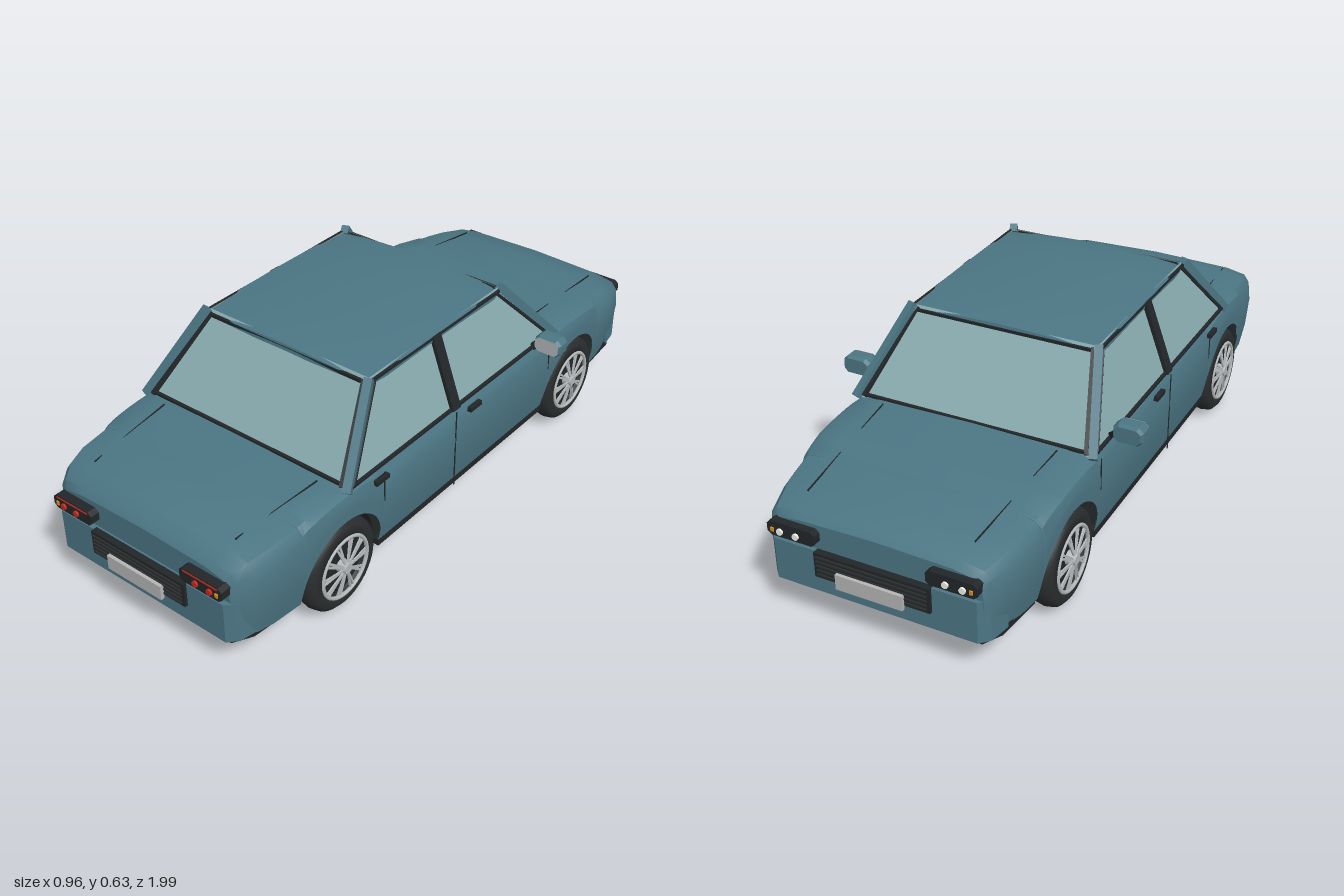
import * as THREE from 'three';
import { toCreasedNormals } from 'three/addons/utils/BufferGeometryUtils.js';

const mat = (color, side = THREE.DoubleSide) => new THREE.MeshStandardMaterial({ color, side });
const paint = mat(0x4b7583), dark = mat(0x222628), rubber = mat(0x2a2d2e), glass = mat(0x86a9ad);
const steel = mat(0xb4b8ba), red = mat(0xc8281e), orange = mat(0xe08a20), white = mat(0xf0f0ea), plateGrey = mat(0xb5b5b5);

const WHEEL_Z = 0.58, WHEEL_Y = 0.143, ARCH_R = 0.16, SILL = 0.112;

function add(parent, name, geometry, material, x = 0, y = 0, z = 0) {
  const mesh = new THREE.Mesh(geometry, material);
  mesh.name = name;
  mesh.position.set(x, y, z);
  parent.add(mesh);
  return mesh;
}
const box = (parent, name, w, h, d, material, x, y, z) => add(parent, name, new THREE.BoxGeometry(w, h, d), material, x, y, z);

// Bar between two points
function beam(parent, name, a, b, w, h, material) {
  const p = new THREE.Vector3(...a), q = new THREE.Vector3(...b);
  const mesh = box(parent, name, w, h, p.distanceTo(q), material, ...p.clone().lerp(q, 0.5));
  mesh.lookAt(q);
  return mesh;
}

// Skin over a list of equal-length rings of points
function loft(rings, closed = false, crease = 0.6) {
  const n = rings[0].length, index = [];
  for (let i = 0; i < rings.length - 1; i++)
    for (let j = 0; j < (closed ? n : n - 1); j++) {
      const a = i * n + j, b = i * n + (j + 1) % n;
      index.push(a, b, a + n, b, b + n, a + n);
    }
  const g = new THREE.BufferGeometry();
  g.setAttribute('position', new THREE.Float32BufferAttribute(rings.flat(2), 3));
  g.setIndex(index);
  return toCreasedNormals(g, crease);
}

// Slab from a mirrored plan outline of [x, z] points, hanging down from yTop
function slab(half, height, yTop) {
  const pts = [...half, ...half.map(([x, z]) => [-x, z]).reverse()].map(p => new THREE.Vector2(...p));
  return new THREE.ExtrudeGeometry(new THREE.Shape(pts), { depth: height, bevelEnabled: false })
    .rotateX(Math.PI / 2).translate(0, yTop, 0);
}

// Body stations: z, half width, shoulder height
const STATIONS = [
  [-0.96, 0.318, 0.318], [-0.94, 0.335, 0.335], [-0.85, 0.36, 0.352], [-0.78, 0.37, 0.363], [-0.65, 0.381, 0.38],
  [-0.45, 0.385, 0.393], [0.56, 0.385, 0.391], [0.7, 0.382, 0.386], [0.84, 0.37, 0.377], [0.9, 0.355, 0.364],
  [0.94, 0.332, 0.342], [0.955, 0.315, 0.325]];

function section(z) {
  let i = 0;
  while (i < STATIONS.length - 2 && z > STATIONS[i + 1][0]) i++;
  const [z0, w0, t0] = STATIONS[i], [z1, w1, t1] = STATIONS[i + 1], k = (z - z0) / (z1 - z0);
  const w = w0 + (w1 - w0) * k, top = t0 + (t1 - t0) * k;
  // bottom edge rises over the wheels
  const d = Math.abs(Math.abs(z) - WHEEL_Z);
  const bottom = d <= ARCH_R + 1e-6 ? WHEEL_Y + Math.sqrt(Math.max(0, ARCH_R ** 2 - d * d)) : SILL;
  const levels = [[0, 0], [0.3, 0], [0.6, 0], [0.85, 0.008], [0.95, 0.026], [1, 0.09], [1.03, w]];
  const half = levels.map(([f, inset]) => {
    const y = bottom + f * (top - bottom);
    return [w - inset - (y < 0.28 ? 0.022 * ((0.28 - y) / 0.17) ** 2 : 0), y, z];
  });
  return [...half, ...half.slice(0, -1).reverse().map(([x, y, c]) => [-x, y, c])];
}

function buildBody(car) {
  const zs = STATIONS.map(s => s[0]);
  for (const c of [-WHEEL_Z, WHEEL_Z]) {
    zs.push(c - ARCH_R - 0.0005, c + ARCH_R + 0.0005);
    for (let k = 0; k <= 20; k++) zs.push(c + ARCH_R * Math.cos(k * Math.PI / 20));
  }
  const rings = zs.sort((a, b) => a - b).map(section);
  add(car, 'bodyShell', loft(rings), paint);
  for (const ring of [rings[0], rings[rings.length - 1]]) {
    const shape = new THREE.Shape(ring.map(([x, y]) => new THREE.Vector2(x, y)));
    add(car, 'bodyEnd', new THREE.ShapeGeometry(shape), paint, 0, 0, ring[0][2]);
  }
  // Underside with wheel notches, and the arch liners
  add(car, 'floor', slab([[0.305, -0.955], [0.335, -0.9], [0.35, -0.75], [0.29, -0.75], [0.29, -0.42], [0.367, -0.42],
    [0.367, 0.42], [0.29, 0.42], [0.29, 0.75], [0.35, 0.75], [0.335, 0.9], [0.305, 0.955]], 0.02, 0.124), dark);
  box(car, 'underbody', 0.58, 0.2, 1.8, dark, 0, 0.22, 0);
  const side = new THREE.Shape().moveTo(-0.8, 0.115);
  const r = ARCH_R - 0.002, a = Math.asin((WHEEL_Y - 0.115) / r);
  for (const c of [-WHEEL_Z, WHEEL_Z]) side.absarc(c, WHEEL_Y, r, Math.PI + a, -a, true);
  side.lineTo(0.8, 0.115).lineTo(0.8, 0.33).lineTo(-0.8, 0.33);
  const liner = new THREE.ExtrudeGeometry(side, { depth: 0.06, bevelEnabled: false, curveSegments: 20 }).rotateY(-Math.PI / 2);
  for (const x of [0.347, -0.287]) add(car, 'archLiner', liner, dark, x);
  // Seams, handles
  for (const s of [-1, 1]) {
    for (const z of [0.08, -0.42, 0.415]) box(car, 'doorSeam', 0.002, z === 0.08 ? 0.26 : 0.1, 0.004, dark, s * 0.384, z === 0.08 ? 0.25 : 0.32, z);
    for (const z of [0.43, -0.01]) box(car, 'doorHandle', 0.014, 0.014, 0.055, dark, s * 0.385, 0.355, z);
    beam(car, 'bonnetSeam', [s * 0.275, 0.394, -0.47], [s * 0.25, 0.354, -0.88], 0.003, 0.004, dark);
    beam(car, 'bootSeam', [s * 0.285, 0.393, 0.58], [s * 0.26, 0.373, 0.87], 0.003, 0.004, dark);
  }
}

function buildCabin(car) {
  const ring = (x, y, zBack, zFront) => [[-x, y, zBack], [x, y, zBack], [x, y, zFront], [-x, y, zFront]];
  add(car, 'windows', loft([ring(0.372, 0.385, 0.56, -0.452), ring(0.29, 0.61, 0.365, -0.25)], true, 0.1), glass);

  // Crowned roof with a turned-down rim
  const rows = [[-0.262, 0.288, 0.594], [-0.258, 0.295, 0.612], [-0.22, 0.299, 0.618], [-0.1, 0.301, 0.624], [0.06, 0.301, 0.626],
    [0.22, 0.301, 0.624], [0.34, 0.298, 0.618], [0.378, 0.294, 0.61], [0.382, 0.286, 0.592]];
  add(car, 'roof', loft(rows.map(([z, w, y]) => {
    const pts = [[w, y - 0.035, z]];
    for (let k = 0; k <= 10; k++) { const f = 1 - k / 5; pts.push([w * f, y - 0.016 * f * f, z]); }
    return [...pts, [-w, y - 0.035, z]];
  })), paint);

  for (const s of [-1, 1]) {
    const pillars = [['frontPillar', -0.455, -0.25], ['rearPillar', 0.565, 0.37]];
    for (const [name, z0, z1] of pillars) {
      beam(car, name, [s * 0.374, 0.383, z0], [s * 0.294, 0.612, z1], 0.024, 0.026, paint);
      const e = Math.sign(z0);
      beam(car, 'screenSideTrim', [s * 0.352, 0.39, z0 - e * 0.004], [s * 0.277, 0.602, z1], 0.012, 0.012, dark);
      beam(car, 'windowEdgeTrim', [s * 0.374, 0.392, z0 - e * 0.03], [s * 0.297, 0.602, z1 - e * 0.022], 0.008, 0.01, dark);
    }
    beam(car, 'middlePillar', [s * 0.374, 0.385, 0.076], [s * 0.294, 0.606, 0.076], 0.036, 0.02, dark);
    beam(car, 'beltTrim', [s * 0.373, 0.391, -0.44], [s * 0.373, 0.391, 0.55], 0.01, 0.008, dark);
    beam(car, 'gutter', [s * 0.299, 0.603, -0.25], [s * 0.299, 0.603, 0.37], 0.008, 0.008, dark);

    // Door mirror: eight-sided shell with a grey face
    const mirror = new THREE.Group();
    mirror.name = 'doorMirror';
    mirror.position.set(s * 0.433, 0.424, -0.34);
    car.add(mirror);
    const outline = k => new THREE.Shape([[-0.046, -0.014], [-0.032, -0.027], [0.032, -0.027], [0.046, -0.014],
      [0.046, 0.014], [0.032, 0.027], [-0.032, 0.027], [-0.046, 0.014]].map(([x, y]) => new THREE.Vector2(x * k, y * k)));
    add(mirror, 'mirrorShell', new THREE.ExtrudeGeometry(outline(0.85), { depth: 0.03, bevelSize: 0.006, bevelThickness: 0.012, bevelSegments: 1 }), paint, 0, 0, -0.015);
    add(mirror, 'mirrorFace', new THREE.ShapeGeometry(outline(0.88)), steel, 0, 0, 0.028);
    beam(mirror, 'mirrorArm', [-s * 0.065, -0.026, 0], [-s * 0.03, -0.012, 0], 0.02, 0.016, dark);
  }
  for (const [z0, z1] of [[-0.452, -0.258], [0.56, 0.374]]) {
    box(car, 'screenBaseTrim', 0.7, 0.008, 0.01, dark, 0, 0.395, z0 * 0.99);
    box(car, 'screenTopTrim', 0.55, 0.01, 0.012, dark, 0, 0.598, z1);
  }
}

// Bumper, lamps, grille and plate for one end, facing +z
function buildEnd(isRear) {
  const end = new THREE.Group();
  end.name = isRear ? 'rearEnd' : 'frontEnd';
  add(end, 'bumper', slab([[0.34, 0.88], [0.328, 0.945], [0.302, 0.972]], 0.128, 0.246), paint);
  const lamp = new THREE.CylinderGeometry(0.0095, 0.0095, 0.008, 16).rotateX(Math.PI / 2);
  const housing = new THREE.Shape([[-0.074, -0.012], [-0.062, -0.022], [0.062, -0.022], [0.074, -0.012],
    [0.074, 0.012], [0.062, 0.022], [-0.062, 0.022], [-0.074, 0.012]].map(p => new THREE.Vector2(...p)));
  for (const s of [-1, 1]) {
    add(end, 'lampHousing', new THREE.ExtrudeGeometry(housing, { depth: 0.035, bevelEnabled: false }), dark, s * 0.238, 0.287, 0.948);
    for (const x of [0.222, 0.271]) add(end, 'lamp', lamp, isRear ? red : white, s * x, 0.283, 0.985);
    box(end, 'indicator', 0.009, 0.012, 0.006, orange, s * 0.295, 0.284, 0.984);
    if (isRear) box(end, 'lampStrip', 0.12, 0.004, 0.004, red, s * 0.238, 0.303, 0.983);
  }
  box(end, 'grille', 0.346, 0.076, 0.02, dark, 0, 0.21, 0.972);
  for (let i = 0; i < 5; i++) box(end, 'grilleSlat', 0.33, 0.005, 0.006, rubber, 0, 0.183 + i * 0.0135, 0.984);
  box(end, 'plate', 0.2, 0.046, 0.012, plateGrey, 0, 0.188, 0.991);
  end.rotation.y = isRear ? 0 : Math.PI;
  return end;
}

function buildWheel() {
  const wheel = new THREE.Group();
  wheel.name = 'wheel';
  const toX = g => g.rotateZ(-Math.PI / 2);
  const profile = [[0.088, -0.034], [0.125, -0.036], [0.138, -0.025], [0.143, 0], [0.138, 0.025], [0.125, 0.036], [0.1, 0.038], [0.092, 0.02]];
  add(wheel, 'tyre', toX(new THREE.LatheGeometry(profile.map(p => new THREE.Vector2(...p)), 40)), rubber);
  add(wheel, 'rimDish', toX(new THREE.CylinderGeometry(0.093, 0.093, 0.05, 32)), dark, -0.006);
  add(wheel, 'rimRing', new THREE.TorusGeometry(0.094, 0.006, 8, 40).rotateY(Math.PI / 2), steel, 0.037);
  add(wheel, 'hub', toX(new THREE.CylinderGeometry(0.016, 0.021, 0.028, 16)), steel, 0.036);
  for (let i = 0; i < 10; i++) for (const d of [-0.07, 0.07]) {
    const a = i * Math.PI / 5;
    beam(wheel, 'spoke', [0.042, 0.016 * Math.sin(a), 0.016 * Math.cos(a)],
      [0.036, 0.092 * Math.sin(a + d), 0.092 * Math.cos(a + d)], 0.005, 0.006, steel);
  }
  return wheel;
}

export function createModel() {
  const car = new THREE.Group();
  car.name = 'saloonCar';
  buildBody(car);
  buildCabin(car);
  car.add(buildEnd(true), buildEnd(false));
  for (const s of [-1, 1]) for (const z of [-WHEEL_Z, WHEEL_Z]) {
    const wheel = buildWheel();
    wheel.position.set(s * 0.341, WHEEL_Y, z);
    wheel.rotation.y = s > 0 ? 0 : Math.PI;
    car.add(wheel);
  }
  return car;
}
